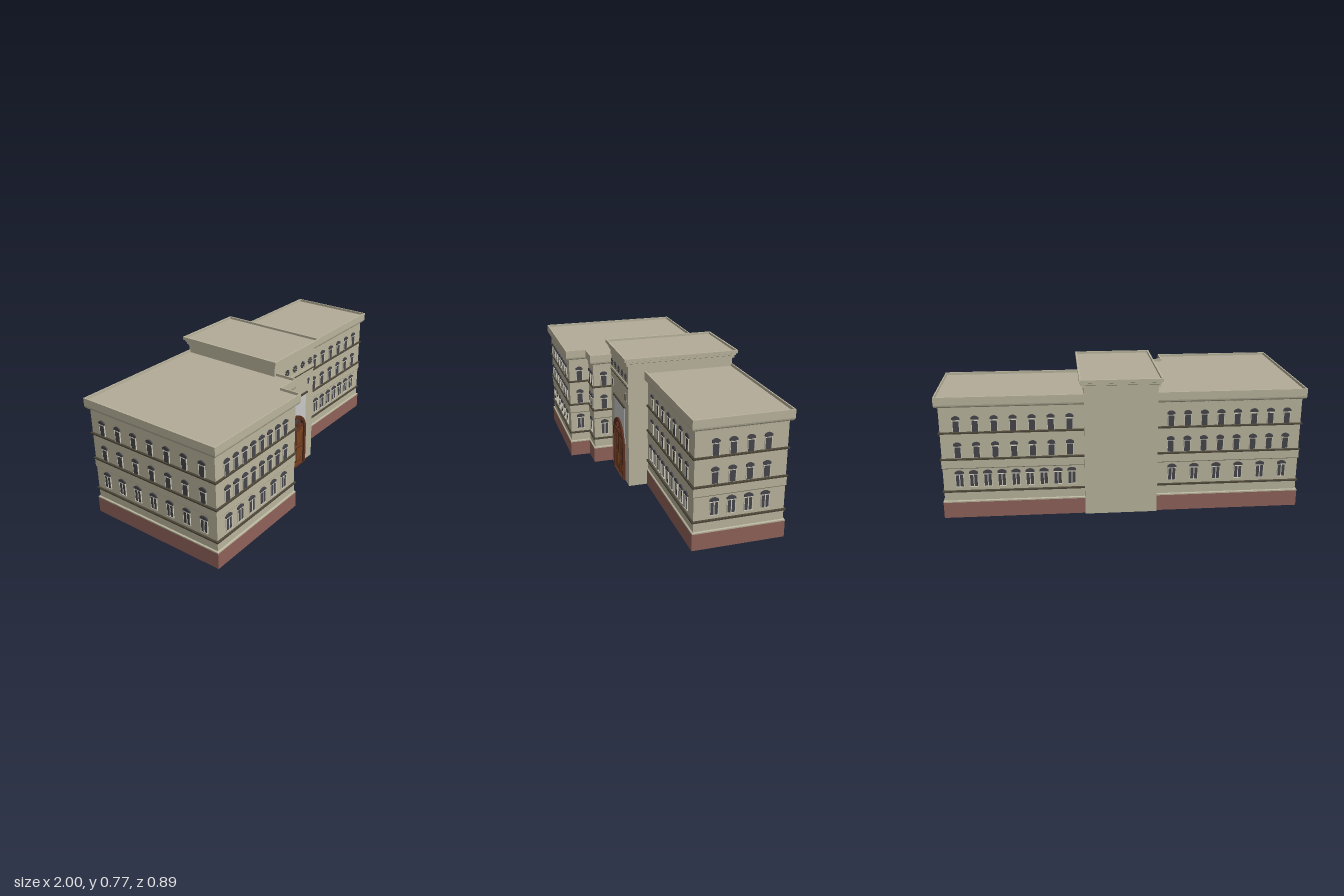
import * as THREE from 'three';
import { mergeGeometries } from 'three/addons/utils/BufferGeometryUtils.js';

const mat = (name, color, side = THREE.DoubleSide) => {
  const m = new THREE.MeshStandardMaterial({ color, side });
  m.name = name;
  return m;
};

export function createModel() {
  const root = new THREE.Group();
  root.name = 'building';
  const M = {
    wall: mat('stone', 0xb9b49c), roof: mat('roof', 0xb4ac99), base: mat('red plinth', 0x8f6259),
    band: mat('dark moulding', 0x4a4436), glass: mat('glass', 0x46454b), trim: mat('window trim', 0xd0ccbc),
    panel: mat('pale plaster', 0xc8c8c8), frame: mat('door frame', 0x5a2f1f), door: mat('door wood', 0x7a431f),
  };
  const add = (parent, name, geo, material) => {
    const m = new THREE.Mesh(geo, material);
    m.name = name;
    parent.add(m);
    return m;
  };
  const box = (w, h, d, x, y, z) => new THREE.BoxGeometry(w, h, d).translate(x, y, z);
  const flat = g => (g.index ? g.toNonIndexed() : g);
  const merge = list => mergeGeometries(list.map(flat));

  // Right-angled outline grown outward by d
  const grow = (pts, d) => pts.map((p, i) => {
    const n = pts.length, a = pts[(i + n - 1) % n], b = pts[(i + 1) % n];
    const nx = -Math.sign(p[1] - a[1]) - Math.sign(b[1] - p[1]);
    const nz = Math.sign(p[0] - a[0]) + Math.sign(b[0] - p[0]);
    return [p[0] + nx * d, p[1] + nz * d];
  });
  // Sweep a [offset, y] profile round an outline
  const sweep = (pts, profile, skip = -1) => {
    const pos = [];
    for (let k = 0; k + 1 < profile.length; k++) {
      const lo = grow(pts, profile[k][0]), hi = grow(pts, profile[k + 1][0]);
      const y0 = profile[k][1], y1 = profile[k + 1][1];
      pts.forEach((_, i) => {
        if (i === skip) return;
        const j = (i + 1) % pts.length;
        const a = [lo[i][0], y0, lo[i][1]], b = [lo[j][0], y0, lo[j][1]];
        const c = [hi[j][0], y1, hi[j][1]], d = [hi[i][0], y1, hi[i][1]];
        pos.push(...a, ...b, ...c, ...a, ...c, ...d);
      });
    }
    const g = new THREE.BufferGeometry();
    g.setAttribute('position', new THREE.Float32BufferAttribute(pos, 3));
    g.computeVertexNormals();
    return g;
  };
  const slab = (pts, d, y) => new THREE.ShapeGeometry(
    new THREE.Shape(grow(pts, d).map(p => new THREE.Vector2(p[0], -p[1])))).rotateX(-Math.PI / 2).translate(0, y, 0);
  const extrude = (shape, depth, z) => new THREE.ExtrudeGeometry(shape, { depth, bevelEnabled: false, curveSegments: 20 }).translate(0, 0, z);

  // Window parts, with the wall plane at z = 0 and the sill at y = 0
  const hood = (w, y, rise) => {
    const s = new THREE.Shape();
    s.moveTo(-w, y);
    s.lineTo(w, y);
    s.lineTo(w, y + rise * 0.5);
    s.quadraticCurveTo(0, y + rise * 1.5, -w, y + rise * 0.5);
    return extrude(s, 0.007, 0);
  };
  const upper = {
    glass: merge([box(0.033, 0.064, 0.008, 0, 0.032, 0), hood(0.021, 0.068, 0.02)]),
    trim: merge([box(0.036, 0.003, 0.012, 0, 0.062, 0), box(0.003, 0.064, 0.012, -0.0175, 0.032, 0),
      box(0.003, 0.064, 0.012, 0.0175, 0.032, 0)]),
  };
  const lower = {
    glass: merge([box(0.04, 0.072, 0.008, 0, 0.036, 0), hood(0.024, 0.076, 0.02)]),
    trim: merge([box(0.046, 0.003, 0.014, 0, 0.001, 0), box(0.003, 0.072, 0.012, -0.021, 0.036, 0),
      box(0.003, 0.072, 0.012, 0.021, 0.036, 0), box(0.005, 0.072, 0.012, 0, 0.036, 0), box(0.042, 0.003, 0.012, 0, 0.072, 0)]),
  };

  // One wing: shell, plinth, bands, cornice, dentils, windows per wall
  const wing = (name, pts, walls) => {
    const g = new THREE.Group();
    g.name = name;
    root.add(g);
    add(g, 'walls', sweep(pts, [[0.008, 0.09], [0.008, 0.097], [0, 0.1], [0, 0.285], [0.004, 0.29], [0.004, 0.335], [0, 0.336], [0, 0.64]]), M.wall);
    add(g, 'plinth', sweep(pts, [[0.008, 0], [0.008, 0.09]]), M.base);
    for (const y of [0.147, 0.333, 0.483])
      add(g, 'stringCourse', sweep(pts, [[0, y], [0.009, y + 0.003], [0.009, y + 0.01], [0, y + 0.013]]), M.band);
    add(g, 'cornice', sweep(pts, [[0, 0.636], [0.014, 0.636], [0.018, 0.642], [0.02, 0.65], [0.02, 0.693], [0.013, 0.693], [0.013, 0.678]]), M.wall);
    add(g, 'roof', slab(pts, 0.013, 0.678), M.roof);
    const dentils = [];
    pts.forEach((p, i) => {
      const q = pts[(i + 1) % pts.length], len = Math.hypot(q[0] - p[0], q[1] - p[1]), n = Math.round(len / 0.018);
      for (let k = 0; k < n; k++) {
        const t = (k + 0.5) / n;
        dentils.push(box(0.009, 0.009, 0.009, p[0] + (q[0] - p[0]) * t, 0.632, p[1] + (q[1] - p[1]) * t));
      }
    });
    add(g, 'dentils', merge(dentils), M.wall);
    const parts = { glass: [], trim: [] };
    for (const { turn, at, up, low } of walls) {
      const put = (kind, [from, to, n], y) => {
        for (let i = 0; i < n; i++) {
          const u = n > 1 ? from + (to - from) * i / (n - 1) : from;
          const side = turn % 2 === 1;
          for (const k in parts)
            parts[k].push(kind[k].clone().rotateY(turn * Math.PI / 2).translate(side ? at : u, y, side ? u : at));
        }
      };
      put(upper, up, 0.497);
      put(upper, up, 0.35);
      put(lower, low, 0.18);
    }
    add(g, 'windowGlass', merge(parts.glass), M.glass);
    add(g, 'windowTrim', merge(parts.trim), M.trim);
  };
  wing('leftWing', [[0.2, 0.082], [0.978, 0.082], [0.978, -0.4], [0.2, -0.4]], [
    { turn: 0, at: 0.082, up: [0.305, 0.882, 7], low: [0.283, 0.88, 9] },
    { turn: 2, at: -0.4, up: [0.29, 0.89, 7], low: [0.283, 0.89, 9] },
    { turn: 1, at: 0.978, up: [-0.023, -0.293, 4], low: [-0.023, -0.293, 4] }]);
  wing('rightWing', [[-0.98, 0.428], [-0.322, 0.428], [-0.322, 0.308], [-0.183, 0.308], [-0.183, -0.4], [-0.98, -0.4]], [
    { turn: 0, at: 0.428, up: [-0.898, -0.417, 8], low: [-0.893, -0.428, 6] },
    { turn: 0, at: 0.308, up: [-0.275, -0.22, 2], low: [-0.257, 0, 1] },
    { turn: 1, at: -0.322, up: [0.367, 0, 1], low: [0.367, 0, 1] },
    { turn: 1, at: -0.183, up: [0.245, 0, 1], low: [0.245, 0, 1] },
    { turn: 2, at: -0.4, up: [-0.9, -0.26, 8], low: [-0.89, -0.27, 6] },
    { turn: 3, at: -0.98, up: [-0.32, 0.35, 7], low: [-0.32, 0.35, 7] }]);

  // Central tower
  const tower = new THREE.Group();
  tower.name = 'tower';
  root.add(tower);
  const X = 0.013, F = 0.197;
  const plan = [[X - 0.199, F], [X + 0.199, F], [X + 0.199, -0.42], [X - 0.199, -0.42]];
  const arch = (Kind, half, spring, y0) => {
    const s = new Kind();
    s.moveTo(X - half, y0);
    s.lineTo(X + half, y0);
    s.lineTo(X + half, spring);
    s.absarc(X, spring, half, 0, Math.PI, false);
    s.lineTo(X - half, y0);
    return s;
  };
  const rect = (x0, x1, y0, y1) => new THREE.Shape([[x0, y0], [x1, y0], [x1, y1], [x0, y1]].map(p => new THREE.Vector2(...p)));
  add(tower, 'towerWalls', sweep(plan, [[0, 0], [0, 0.73]], 0), M.wall);
  const front = rect(X - 0.199, X + 0.199, 0, 0.73);
  front.holes.push(arch(THREE.Path, 0.105, 0.235, 0.0005));
  add(tower, 'towerFront', extrude(front, 0.01, F - 0.01), M.wall);
  add(tower, 'towerCornice', sweep(plan, [[0, 0.727], [0.009, 0.729], [0.009, 0.741], [0.015, 0.744], [0.015, 0.754],
    [0.024, 0.757], [0.024, 0.775], [0.014, 0.775], [0.014, 0.762]]), M.wall);
  add(tower, 'towerRoof', slab(plan, 0.014, 0.762), M.roof);

  // Plaster field, lintel, slots, frieze mouldings and rosettes
  const field = rect(X - 0.117, X + 0.122, 0.236, 0.46);
  const cut = new THREE.Path();
  cut.moveTo(X - 0.11, 0.2361);
  cut.lineTo(X + 0.11, 0.2361);
  cut.absarc(X, 0.2361, 0.11, 0, Math.PI, false);
  field.holes.push(cut);
  add(tower, 'plasterField', extrude(field, 0.003, F), M.panel);
  add(tower, 'lintel', box(0.262, 0.009, 0.01, X + 0.003, 0.463, F + 0.004), M.band);
  for (const x of [-0.144, 0.157]) {
    add(tower, 'slotTrim', box(0.024, 0.046, 0.004, x, 0.53, F), M.trim);
    add(tower, 'slot', box(0.016, 0.038, 0.008, x, 0.53, F), M.glass);
  }
  add(tower, 'friezeLine', box(0.398, 0.005, 0.008, X, 0.6, F), M.band);
  add(tower, 'friezeMoulding', box(0.398, 0.012, 0.01, X, 0.614, F), M.wall);
  const petals = [], rings = [];
  for (let i = 0; i < 5; i++) {
    const x = X + (i - 2) * 0.078;
    for (let k = 0; k < 8; k++) {
      const a = k * Math.PI / 4;
      petals.push(box(0.013, 0.006, 0.006, 0.014, 0, 0).rotateZ(a).translate(x, 0.655, F + 0.002));
    }
    rings.push(new THREE.TorusGeometry(0.011, 0.003, 5, 14).translate(x, 0.655, F + 0.002));
  }
  add(tower, 'rosettePetals', merge(petals), M.glass);
  add(tower, 'rosetteRings', merge(rings), M.band);

  // Arched door: frame, leaves with raised panels, fanlight
  const door = new THREE.Group();
  door.name = 'door';
  root.add(door);
  const frame = arch(THREE.Shape, 0.115, 0.235, 0);
  frame.holes.push(arch(THREE.Path, 0.097, 0.235, 0.0005));
  add(door, 'doorFrame', extrude(frame, 0.026, F - 0.012), M.frame);
  add(door, 'doorBack', box(0.194, 0.258, 0.004, X, 0.129, F - 0.01), M.wall);
  add(door, 'transom', box(0.198, 0.012, 0.02, X, 0.262, F), M.frame);
  add(door, 'meetingStile', box(0.008, 0.256, 0.014, X, 0.128, F + 0.002), M.frame);
  for (const s of [-1, 1]) {
    add(door, 'doorLeaf', box(0.094, 0.256, 0.01, X + s * 0.05, 0.128, F - 0.002), M.door);
    for (const [y, h] of [[0.075, 0.1], [0.193, 0.1]]) {
      add(door, 'panelRim', box(0.06, h, 0.004, X + s * 0.05, y, F + 0.004), M.frame);
      add(door, 'panelField', box(0.046, h - 0.016, 0.005, X + s * 0.05, y, F + 0.006), M.door);
    }
  }
  add(door, 'fanlight', new THREE.CircleGeometry(0.098, 24, 0, Math.PI).translate(X, 0.235, F - 0.008), M.glass);
  for (const a of [0.75, Math.PI / 2, Math.PI - 0.75])
    add(door, 'fanBar', box(0.096, 0.009, 0.012, 0.05, 0, 0).rotateZ(a).translate(X, 0.237, F), M.frame);
  add(door, 'fanRing', new THREE.TorusGeometry(0.045, 0.005, 6, 20, Math.PI).translate(X, 0.25, F), M.frame);
  return root;
}
